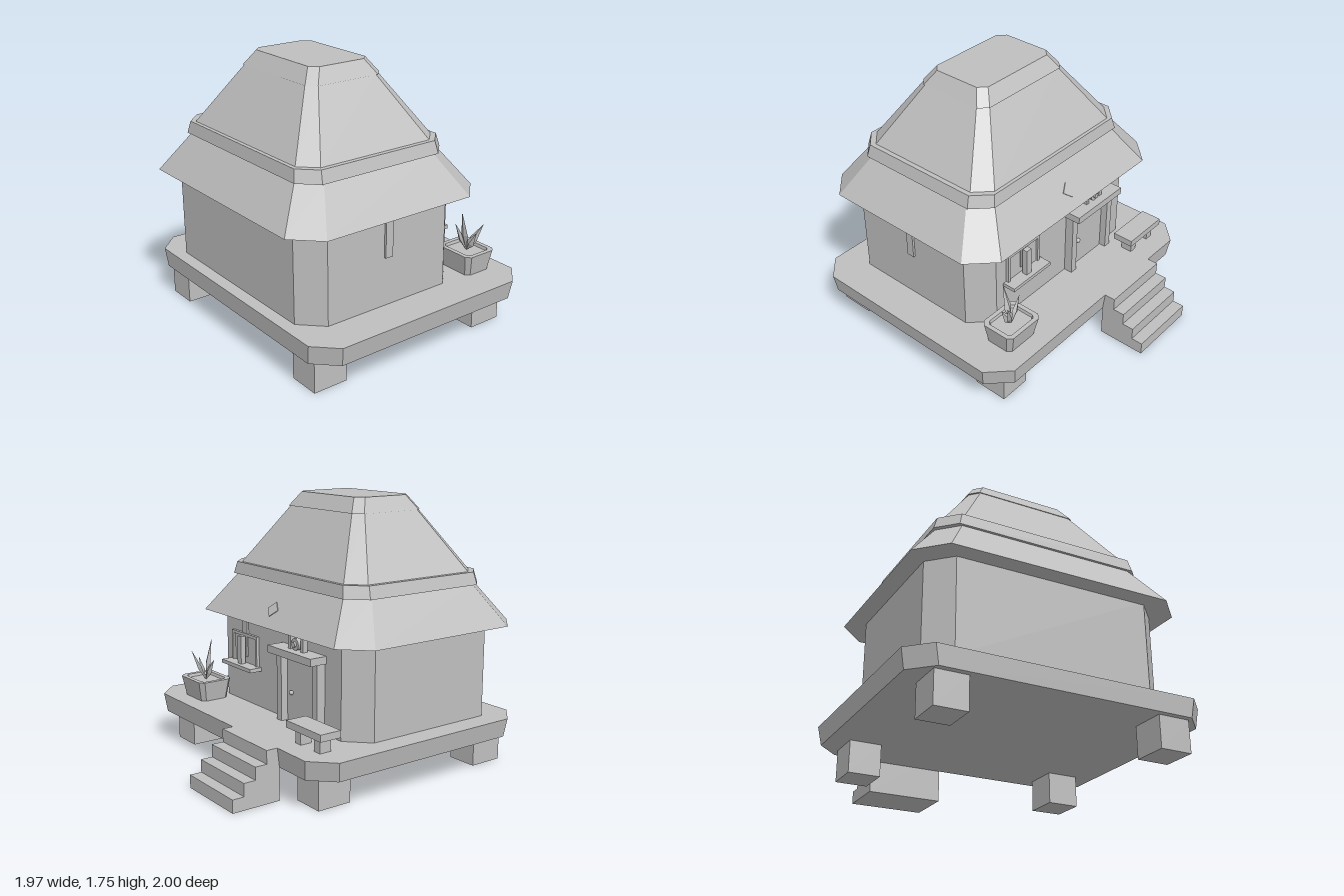
import * as THREE from 'three';

const plaster = new THREE.MeshStandardMaterial({ color: 0xbfbfbf });
plaster.name = 'plain grey';

// Solid lofted through chamfered rectangles: [x0, x1, z0, z1, chamfer, y], bottom to top
function loft(rings) {
  const loops = rings.map(([x0, x1, z0, z1, c, y]) => [
    [x0 + c, y, z1], [x1 - c, y, z1], [x1, y, z1 - c], [x1, y, z0 + c],
    [x1 - c, y, z0], [x0 + c, y, z0], [x0, y, z0 + c], [x0, y, z1 - c],
  ]);
  const p = [];
  const tri = (a, b, c) => p.push(...a, ...b, ...c);
  for (let r = 0; r + 1 < loops.length; r++) {
    const lo = loops[r], hi = loops[r + 1];
    for (let i = 0; i < 8; i++) {
      const j = (i + 1) % 8;
      tri(lo[i], lo[j], hi[j]);
      tri(lo[i], hi[j], hi[i]);
    }
  }
  const bottom = loops[0], top = loops[loops.length - 1];
  for (let i = 1; i < 7; i++) {
    tri(top[0], top[i], top[i + 1]);
    tri(bottom[0], bottom[i + 1], bottom[i]);
  }
  const g = new THREE.BufferGeometry();
  g.setAttribute('position', new THREE.Float32BufferAttribute(p, 3));
  g.computeVertexNormals();
  return g;
}

// Box given by its extents
function block(x0, x1, y0, y1, z0, z1) {
  return new THREE.BoxGeometry(x1 - x0, y1 - y0, z1 - z0)
    .translate((x0 + x1) / 2, (y0 + y1) / 2, (z0 + z1) / 2);
}

export function createModel() {
  const model = new THREE.Group();
  model.name = 'hut';
  const add = (name, geometry, parent = model) => {
    const m = new THREE.Mesh(geometry, plaster);
    m.name = name;
    parent.add(m);
    return m;
  };
  const group = (name) => {
    const g = new THREE.Group();
    g.name = name;
    model.add(g);
    return g;
  };

  // Raised deck on four posts
  add('deck', loft([[-0.965, 0.965, -0.67, 0.96, 0.14, 0.21], [-0.988, 0.985, -0.685, 0.97, 0.14, 0.335]]));
  const posts = group('deckPosts');
  for (const [x0, x1] of [[-0.835, -0.625], [0.615, 0.83]])
    for (const [z0, z1] of [[-0.58, -0.345], [0.685, 0.92]])
      add('deckPost', block(x0, x1, 0, 0.215, z0, z1), posts);

  // Solid stairs, cut as one stepped profile
  const profile = new THREE.Shape();
  profile.moveTo(0.67, 0);
  profile.lineTo(0.67, 0.335);
  [0.335, 0.25, 0.168, 0.085].forEach((y, i) => {
    if (i) profile.lineTo(0.68 + i * 0.08, y);
    profile.lineTo(0.76 + i * 0.08, y);
  });
  profile.lineTo(1, 0);
  const stairs = new THREE.ExtrudeGeometry(profile, { depth: 0.497, bevelEnabled: false });
  add('stairs', stairs.rotateY(Math.PI / 2).translate(-0.567, 0, 0));

  // Walls and stacked roof
  add('walls', loft([[-0.84, 0.73, -0.31, 0.885, 0.142, 0.33], [-0.84, 0.73, -0.31, 0.885, 0.142, 0.96]]));
  add('roofSkirt', loft([[-0.955, 0.845, -0.435, 1.0, 0.17, 0.94], [-0.755, 0.645, -0.25, 0.82, 0.12, 1.2]]));
  add('roofBand', loft([[-0.775, 0.665, -0.272, 0.84, 0.115, 1.195], [-0.75, 0.64, -0.257, 0.825, 0.11, 1.275]]));
  add('roofUpper', loft([[-0.727, 0.615, -0.24, 0.805, 0.105, 1.265], [-0.435, 0.32, 0.015, 0.55, 0.055, 1.67]]));
  add('roofCap', loft([[-0.45, 0.335, 0.0, 0.562, 0.055, 1.66], [-0.385, 0.27, 0.065, 0.497, 0.05, 1.755]]));

  // Diamond plate lying on the rear roof slope
  const diamond = add('roofDiamond', new THREE.CylinderGeometry(1, 1, 0.006, 4).toNonIndexed());
  diamond.scale.set(0.055, 1, 0.052);
  diamond.rotation.x = -0.955;
  diamond.position.set(-0.055, 1.048, -0.361);

  // Doorway centred on the stairs
  const door = group('doorway');
  add('doorPanel', block(-0.48, -0.16, 0.335, 0.79, -0.325, -0.305), door);
  for (const x of [-0.535, -0.155])
    add('doorPost', block(x, x + 0.05, 0.335, 0.79, -0.37, -0.305), door);
  add('lintel', block(-0.55, -0.09, 0.785, 0.833, -0.43, -0.305), door);
  add('doorKnob', new THREE.SphereGeometry(0.016, 8, 6).translate(-0.215, 0.53, -0.335), door);
  add('crestDisc', new THREE.CylinderGeometry(0.038, 0.038, 0.03, 12)
    .rotateX(Math.PI / 2).translate(-0.32, 0.872, -0.365), door);
  add('crestBoss', new THREE.CylinderGeometry(0.018, 0.018, 0.02, 8)
    .rotateX(Math.PI / 2).translate(-0.32, 0.872, -0.385), door);
  for (const x of [-0.40, -0.265])
    add('crestBlock', block(x, x + 0.025, 0.833, 0.92, -0.375, -0.34), door);

  // Window with frame, centre bar and sill
  const win = group('window');
  add('windowPane', block(0.2, 0.49, 0.61, 0.81, -0.316, -0.305), win);
  for (const x of [0.19, 0.475])
    add('windowSide', block(x, x + 0.02, 0.61, 0.81, -0.33, -0.305), win);
  add('windowTop', block(0.19, 0.495, 0.795, 0.815, -0.33, -0.305), win);
  add('windowBar', block(0.32, 0.365, 0.61, 0.8, -0.37, -0.335), win);
  add('windowSill', block(0.165, 0.52, 0.585, 0.61, -0.4, -0.305), win);

  // Hanging strips under the eaves
  add('sideStrip', block(0.725, 0.745, 0.655, 0.945, 0.265, 0.32));
  add('rearStrip', block(0.315, 0.37, 0.655, 0.945, -0.325, -0.305));

  // Bench
  const bench = group('bench');
  add('benchSeat', block(-0.85, -0.505, 0.425, 0.47, -0.577, -0.43), bench);
  for (const x of [-0.8, -0.61])
    add('benchLeg', block(x, x + 0.055, 0.335, 0.43, -0.545, -0.465), bench);

  // Planter with a sunken soil bed
  const planter = group('planter');
  add('pot', loft([
    [0.505, 0.755, -0.565, -0.365, 0.025, 0.335], [0.48, 0.778, -0.592, -0.345, 0.03, 0.472],
    [0.51, 0.748, -0.562, -0.375, 0.02, 0.472], [0.515, 0.743, -0.557, -0.38, 0.02, 0.452],
  ]), planter);

  // Pointed leaves: slim four-sided spindles leaning out from one root
  const root = new THREE.Vector3(0.63, 0.45, -0.47);
  for (const [x, y, z] of [[0.64, 0.735, -0.41], [0.725, 0.65, -0.525], [0.535, 0.61, -0.455], [0.72, 0.6, -0.47]]) {
    const dir = new THREE.Vector3(x, y, z).sub(root);
    const leaf = add('leaf', new THREE.LatheGeometry(
      [[0, 0], [0.03, 0.4], [0, 1]].map(([r, h]) => new THREE.Vector2(r, h)), 4).toNonIndexed(), planter);
    leaf.geometry.computeVertexNormals();
    leaf.position.copy(root);
    leaf.scale.set(1, dir.length(), 0.5);
    leaf.quaternion.setFromUnitVectors(new THREE.Vector3(0, 1, 0), dir.normalize());
  }
  return model;
}
